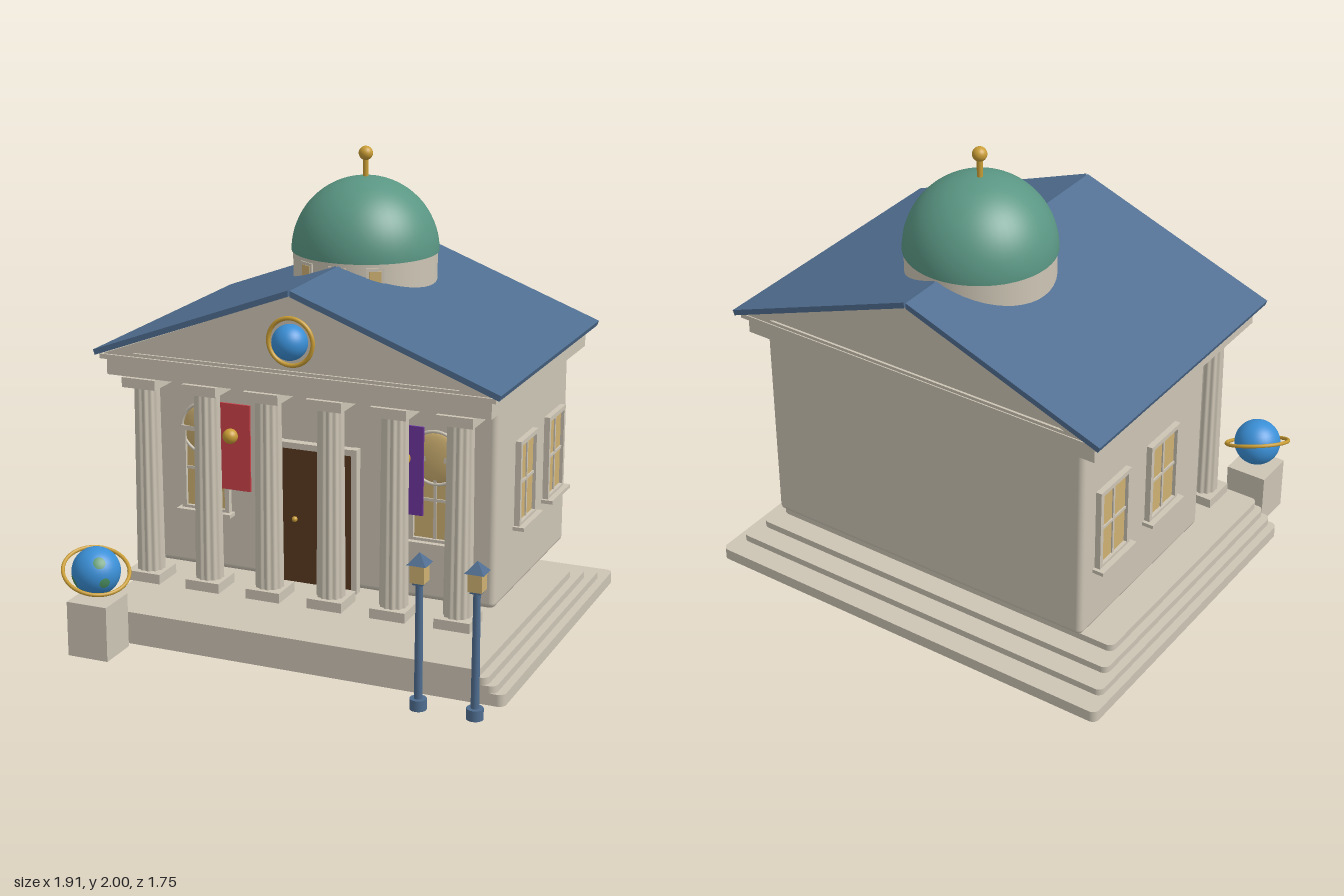
import * as THREE from 'three';
import { RoundedBoxGeometry } from 'three/addons/geometries/RoundedBoxGeometry.js';

const mat = (name, color) => {
  const m = new THREE.MeshStandardMaterial({ color });
  m.name = name;
  return m;
};

export function createModel() {
  const stone = mat('stone', 0xcdc5b5), slate = mat('slate blue', 0x4f6d90), copper = mat('dome green', 0x5a9683);
  const gold = mat('gold', 0xc99d35), ocean = mat('globe blue', 0x3a8fd6), glass = mat('warm glass', 0xcfb172);
  const wood = mat('door brown', 0x5a3a20), red = mat('banner red', 0xcc424a), purple = mat('banner purple', 0x6d359c);
  const land = mat('land green', 0x4a8f62);
  const model = new THREE.Group();
  model.name = 'domedHall';

  const add = (name, geo, material, x = 0, y = 0, z = 0, parent = model) => {
    const m = new THREE.Mesh(geo, material);
    m.name = name;
    m.position.set(x, y, z);
    parent.add(m);
    return m;
  };
  const group = (name, x = 0, y = 0, z = 0, parent = model) => {
    const g = new THREE.Group();
    g.name = name;
    g.position.set(x, y, z);
    parent.add(g);
    return g;
  };
  const box = (w, h, d) => new THREE.BoxGeometry(w, h, d);
  const ball = (r) => new THREE.SphereGeometry(r, 32, 20);
  const polygon = (pts) => new THREE.Shape(pts.map(([x, y]) => new THREE.Vector2(x, y)));
  const extrude = (shape, depth) => new THREE.ExtrudeGeometry(shape, { depth, bevelEnabled: false });

  // Steps: flush at the front, stepping in at the sides and back
  for (let i = 0; i < 4; i++) {
    const w = 0.955 - i * 0.035, back = -0.875 + i * 0.096, r = 0.03;
    const s = new THREE.Shape();
    s.moveTo(-w, -0.62 + r);
    s.absarc(-w + r, -0.62 + r, r, Math.PI, Math.PI * 1.5);
    s.absarc(w - r, -0.62 + r, r, Math.PI * 1.5, Math.PI * 2);
    s.absarc(w - r, -back - r, r, 0, Math.PI / 2);
    s.absarc(-w + r, -back - r, r, Math.PI / 2, Math.PI);
    const y0 = i ? 0.02 + i * 0.03 : 0;
    add('step', extrude(s, 0.05 + i * 0.03 - y0), stone, 0, y0, 0).rotation.x = -Math.PI / 2;
  }

  // Main hall
  add('hall', new RoundedBoxGeometry(1.54, 0.885, 0.92, 3, 0.025), stone, 0, 0.6725, -0.24);

  // Fluted columns with square bases and capitals
  const shaft = new THREE.CylinderGeometry(0.054, 0.06, 0.8, 96, 1, true);
  const p = shaft.attributes.position;
  for (let i = 0; i < p.count; i++) {
    const k = 1 - 0.05 * (1 + Math.cos(12 * Math.atan2(p.getZ(i), p.getX(i))));
    p.setXYZ(i, p.getX(i) * k, p.getY(i), p.getZ(i) * k);
  }
  shaft.computeVertexNormals();
  for (let i = 0; i < 6; i++) {
    const c = group('column', -0.6875 + i * 0.275, 0, 0.418);
    add('shaft', shaft, stone, 0, 0.67, 0, c);
    add('base', box(0.152, 0.042, 0.152), stone, 0, 0.25, 0, c);
    add('capital', box(0.152, 0.042, 0.152), stone, 0, 1.091, 0, c);
  }

  // Entablature and cornice
  add('entablature', box(1.67, 0.08, 1.215), stone, 0, 1.155, -0.1225);
  add('cornice', box(1.715, 0.02, 1.255), stone, 0, 1.195, -0.1225);

  // Pediment with a recessed field at both ends
  const frame = polygon([[-0.86, 1.2], [0.86, 1.2], [0, 1.527]]);
  const field = [[-0.71, 1.218], [0.71, 1.218], [0, 1.485]];
  frame.holes.push(polygon(field));
  add('pedimentFrame', extrude(frame, 1.24), stone, 0, 0, -0.745);
  add('pedimentField', extrude(polygon(field), 1.22), stone, 0, 0, -0.735);

  // Roof slopes, with a narrow ridge gap
  for (const s of [-1, 1]) {
    const pts = [[0.004 * s, 1.55], [0.882 * s, 1.222], [0.874 * s, 1.2], [0.004 * s, 1.525]];
    add('roofSlope', extrude(polygon(pts), 1.285), slate, 0, 0, -0.77);
  }

  // Pediment medallion
  add('medallionGlobe', ball(0.073), ocean, 0, 1.34, 0.505);
  add('medallionRing', new THREE.TorusGeometry(0.096, 0.009, 10, 48), gold, 0, 1.34, 0.5);

  // Drum, dome and finial
  const tower = group('tower', 0, 0, -0.267);
  add('drum', new THREE.CylinderGeometry(0.305, 0.305, 0.25, 48), stone, 0, 1.445, 0, tower);
  const dome = new THREE.SphereGeometry(0.312, 48, 20, 0, Math.PI * 2, 0, Math.PI / 2);
  add('dome', dome, copper, 0, 1.562, 0, tower);
  add('domeUnderside', new THREE.CircleGeometry(0.312, 48), copper, 0, 1.562, 0, tower).rotation.x = Math.PI / 2;
  add('finialRod', new THREE.CylinderGeometry(0.012, 0.012, 0.1, 16), gold, 0, 1.91, 0, tower);
  add('finialBall', ball(0.03), gold, 0, 1.97, 0, tower);
  for (const a of [-Math.PI / 6, 0, Math.PI / 6]) {
    const w = group('drumWindow', 0.3 * Math.sin(a), 1.495, 0.3 * Math.cos(a), tower);
    w.rotation.y = a;
    add('drumWindowFrame', box(0.075, 0.1, 0.018), stone, 0, 0, 0, w);
    add('drumWindowPane', box(0.05, 0.075, 0.004), glass, 0, 0, 0.01, w);
  }

  // Paned windows, built facing +z with the wall at z = 0
  const addWindow = (x, y, z, turn) => {
    const w = group('window', x, y, z);
    w.rotation.y = turn;
    add('pane', box(0.19, 0.35, 0.008), glass, 0, 0, 0.006, w);
    for (const s of [-1, 1]) {
      add('jamb', box(0.02, 0.37, 0.025), stone, s * 0.1, 0, 0.0125, w);
      add('rail', box(0.22, 0.02, 0.025), stone, 0, s * 0.175, 0.0125, w);
    }
    add('mullion', box(0.012, 0.35, 0.016), stone, 0, 0, 0.008, w);
    add('transom', box(0.19, 0.012, 0.016), stone, 0, 0, 0.008, w);
    add('sill', box(0.25, 0.016, 0.05), stone, 0, -0.185, 0.025, w);
  };
  for (const s of [-1, 1]) {
    for (const z of [-0.12, -0.495]) addWindow(s * 0.77, 0.695, z, s * Math.PI / 2);
    addWindow(s * 0.515, 0.67, 0.22, 0);
    // Round light above each front window
    add('roundLight', ball(0.108), glass, s * 0.515, 0.848, 0.225).scale.z = 0.2;
    add('roundLightRim', new THREE.TorusGeometry(0.111, 0.007, 8, 48), stone, s * 0.515, 0.848, 0.232);

    // Banner with gold boss
    add('banner', box(0.17, 0.375, 0.009), s < 0 ? red : purple, s * 0.385, 0.79, 0.25);
    add('bannerBoss', ball(0.032), gold, s * 0.385, 0.84, 0.265);

    // Door leaf, post and knob
    add('doorLeaf', box(0.157, 0.585, 0.02), wood, s * 0.0795, 0.523, 0.232);
    add('doorPost', box(0.024, 0.625, 0.04), stone, s * 0.17, 0.533, 0.238);
    add('doorKnob', ball(0.012), gold, s * 0.1, 0.51, 0.25);
  }
  add('doorLintel', box(0.364, 0.026, 0.04), stone, 0, 0.831, 0.238);

  // Globe on a pedestal
  add('pedestal', box(0.182, 0.235, 0.182), stone, -0.77, 0.1175, 0.74);
  const globe = group('globe', -0.77, 0.352, 0.74);
  add('sea', ball(0.101), ocean, 0, 0, 0, globe);
  const ring = add('globeRing', new THREE.TorusGeometry(0.136, 0.008, 10, 64), gold, 0, 0, 0, globe);
  ring.quaternion.setFromUnitVectors(new THREE.Vector3(0, 0, 1), new THREE.Vector3(0.33, 1, 0.37).normalize());
  const up = new THREE.Vector3(0, 1, 0);
  for (const [x, y, z, a] of [[-0.65, -0.35, 0.65, 0.3], [0.5, 0.6, 0.6, 0.25], [0.7, -0.2, 0.6, 0.22], [-0.2, -0.7, 0.6, 0.25]]) {
    const patch = add('landPatch', new THREE.SphereGeometry(0.1025, 16, 5, 0, Math.PI * 2, 0, a), land, 0, 0, 0, globe);
    patch.quaternion.setFromUnitVectors(up, new THREE.Vector3(x, y, z).normalize());
  }

  // Lamp posts
  for (const x of [0.652, 0.885]) {
    const l = group('lampPost', x, 0, 0.757);
    add('lampBase', new THREE.CylinderGeometry(0.034, 0.034, 0.045, 20), slate, 0, 0.0225, 0, l);
    add('lampPole', new THREE.CylinderGeometry(0.014, 0.017, 0.49, 16), slate, 0, 0.28, 0, l);
    add('lampCollar', box(0.044, 0.012, 0.044), slate, 0, 0.522, 0, l);
    add('lantern', box(0.058, 0.075, 0.058), glass, 0, 0.563, 0, l);
    const cap = new THREE.ConeGeometry(0.056, 0.045, 4).toNonIndexed();
    cap.computeVertexNormals();
    add('lampCap', cap, slate, 0, 0.622, 0, l).rotation.y = Math.PI / 4;
  }
  return model;
}
